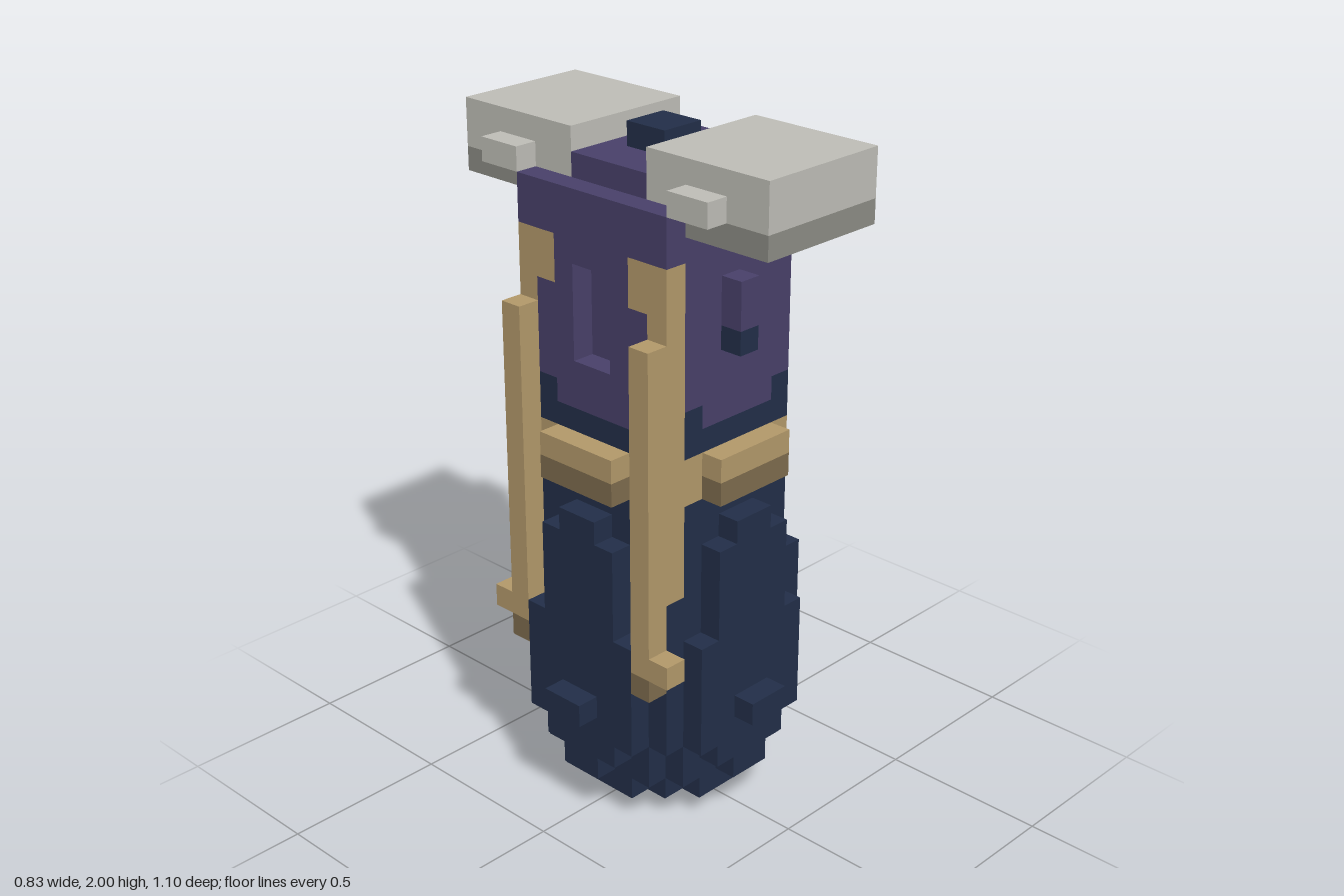
import * as THREE from 'three';
import { mergeGeometries } from 'three/addons/utils/BufferGeometryUtils.js';

const U = 2 / 29; // one voxel

const mat = (name, color) => {
  const m = new THREE.MeshStandardMaterial({ color });
  m.name = name;
  return m;
};

// Box given by its voxel limits
function box(x0, x1, y0, y1, z0, z1) {
  const g = new THREE.BoxGeometry((x1 - x0) * U, (y1 - y0) * U, (z1 - z0) * U);
  return g.translate((x0 + x1) / 2 * U, (y0 + y1) / 2 * U, (z0 + z1) / 2 * U);
}
// Box centred on the axis, by half widths
const mid = (hx, hz, y0, y1) => box(-hx, hx, y0, y1, -hz, hz);
// The same box on the front and on the back
const pair = (x0, x1, y0, y1, z0, z1) => [box(x0, x1, y0, y1, z0, z1), box(x0, x1, y0, y1, -z1, -z0)];
// Centred box and its quarter-turned twin
const cross = (a, b, y0, y1) => [mid(a, b, y0, y1), mid(b, a, y0, y1)];

export function createModel() {
  const navy = mat('navy', 0x222e48);
  const purple = mat('purple', 0x484069);
  const tan = mat('tan', 0xb2986a);
  const darkTan = mat('dark tan', 0x7d6b4d);
  const grey = mat('light grey', 0xbebdb6);
  const darkGrey = mat('dark grey', 0x8b8b84);

  const model = new THREE.Group();
  const part = (name, material, boxes) => {
    const mesh = new THREE.Mesh(mergeGeometries(boxes), material);
    mesh.name = name;
    model.add(mesh);
  };

  // Rounded lower body in stepped layers
  part('lowerBody', navy, [
    mid(2, 2, 0, 1),
    ...cross(4, 2, 1, 2), mid(3, 3, 1, 2),
    ...cross(4, 3, 2, 15),
    mid(4, 4, 4, 11),
  ]);
  // Stepped plates on all four sides
  part('sidePlates', navy, [
    ...cross(5, 1, 2, 14), ...cross(5, 2, 3, 13), ...cross(5, 3, 4, 9),
  ]);
  part('lowerKnobs', navy, cross(6, 1, 5, 6));

  // Belt: the straight runs have a dark lower half
  part('belt', tan, [
    ...cross(4, 3, 15, 17), ...cross(5, 2, 16, 17),
    box(4, 5, 15, 17, -3, -2),
  ]);
  part('beltLowerEdge', darkTan, cross(5, 2, 15, 16));

  // Waist, with raised corners
  const corners = [];
  for (const x of [-3, 2]) corners.push(...pair(x, x + 1, 18, 19, 3, 4));
  part('waist', navy, [
    mid(3, 4, 17, 18), box(-4, -3, 17, 18, -3, 3),
    ...corners, ...pair(-4, -3, 18, 19, 2, 3),
  ]);

  // Upper body
  part('upperBody', purple, [
    mid(2, 4, 18, 19), mid(3, 3, 18, 19),
    mid(3, 4, 19, 26), mid(3, 2, 26, 28),
  ]);
  // Right side slab with a recessed slot
  part('rightSlab', purple, [
    box(-4, -3, 18, 19, -2, 2), box(-4, -3, 19, 20, -3, 3),
    ...pair(-4, -3, 20, 23, 1, 3), ...pair(-4, -3, 23, 24, 1, 2),
    box(-4, -3, 24, 25, -2, 2), box(-4, -3, 25, 27, -4, 4),
  ]);
  // Left side plate
  part('leftPlate', navy, [box(3, 4, 17, 26, -1, 1), box(3, 4, 17, 23, -2, 2)]);

  // Small handles on front and back
  part('handles', purple, pair(-1, 0, 22, 24, 4, 5));
  part('handleTips', navy, pair(-1, 0, 21, 22, 4, 5));

  // Straps down the right side
  part('straps', tan, [
    ...pair(-4, -3, 11, 25, 3, 4),
    ...pair(-4, -3, 23, 25, 2, 3),
    ...pair(-5, -4, 8, 22, 3, 4),
    ...pair(-5, -4, 8, 9, 4, 5),
  ]);
  part('strapEnds', darkTan, pair(-5, -4, 7, 8, 3, 4));

  // Head blocks with side studs
  part('headBlocks', grey, [...pair(-3, 3, 27, 29, 2, 8), ...pair(-3, 3, 26, 27, 2, 4)]);
  part('headUndersides', darkGrey, pair(-3, 3, 26, 27, 4, 8));
  part('headStuds', grey, [...pair(3, 4, 27, 28, 4, 6), ...pair(-4, -3, 27, 28, 4, 6)]);
  part('topKnob', navy, [mid(1, 1, 28, 29)]);

  return model;
}
